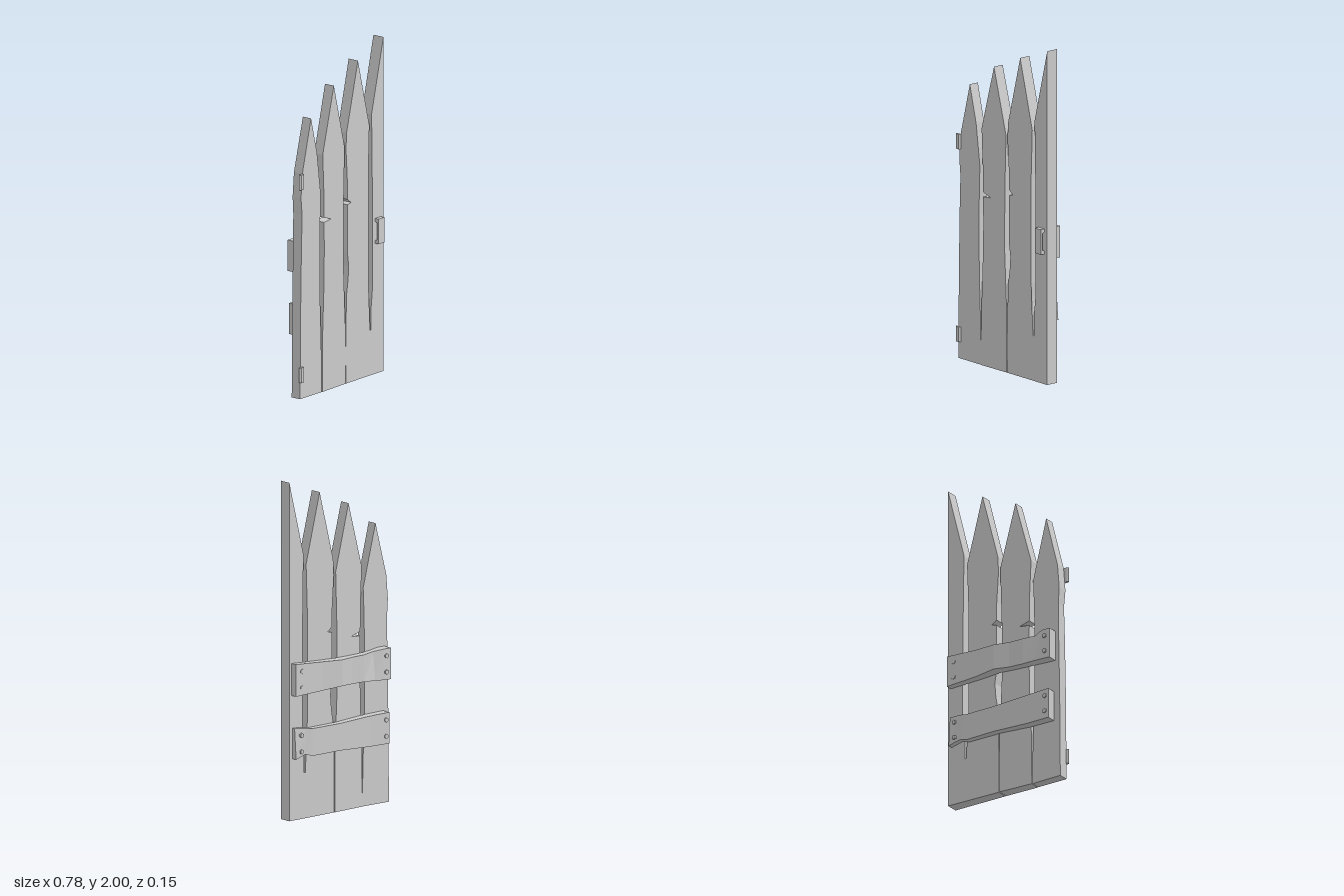
import * as THREE from 'three';

const grey = new THREE.MeshStandardMaterial({ color: 0xcccccc, flatShading: true });

function addMesh(parent, geometry, name) {
  const mesh = new THREE.Mesh(geometry, grey);
  mesh.name = name;
  parent.add(mesh);
  return mesh;
}

// Board cut from an outline of [x, y, frontShiftX?]; the shift chamfers the front edge.
// back and front give z at the left and right ends, so the board can lean.
function boardGeometry(points, back, front) {
  const shape = new THREE.Shape(points.map(([x, y]) => new THREE.Vector2(x, y)));
  const geo = new THREE.ExtrudeGeometry(shape, { depth: 1, bevelEnabled: false });
  const xs = points.map((p) => p[0]);
  const min = Math.min(...xs), max = Math.max(...xs);
  const pos = geo.attributes.position;
  for (let i = 0; i < pos.count; i++) {
    const x = pos.getX(i), y = pos.getY(i), t = (x - min) / (max - min);
    const isFront = pos.getZ(i) > 0.5;
    const [a, b] = isFront ? front : back;
    pos.setZ(i, a + (b - a) * t);
    const chip = isFront && points.find((p) => p[2] && Math.abs(p[0] - x) + Math.abs(p[1] - y) < 1e-4);
    if (chip) pos.setX(i, x + chip[2]);
  }
  geo.computeVertexNormals();
  return geo;
}

// Rail from cross-sections [x, yLow, yHigh, zFront, zBackLow, zBackHigh]
function railGeometry(sections) {
  const n = sections.length - 1;
  const geo = new THREE.BoxGeometry(1, 1, 1, n, 1, 1);
  const pos = geo.attributes.position;
  for (let i = 0; i < pos.count; i++) {
    const [x, lo, hi, front, backLo, backHi] = sections[Math.round((pos.getX(i) + 0.5) * n)];
    const top = pos.getY(i) > 0;
    pos.setXYZ(i, x, top ? hi : lo, pos.getZ(i) > 0 ? front : top ? backHi : backLo);
  }
  geo.computeVertexNormals();
  return geo;
}

export function createModel() {
  const gate = new THREE.Group();
  gate.name = 'picketGate';

  // Pointed boards, with worn edges and splits
  const boards = new THREE.Group();
  boards.name = 'boards';
  gate.add(boards);
  addMesh(boards, boardGeometry([
    [-0.38, 0], [-0.183, 0], [-0.185, 0.2], [-0.19, 0.36], [-0.197, 0.55], [-0.2, 0.9],
    [-0.192, 1.19], [-0.188, 1.29, -0.018], [-0.225, 1.44], [-0.28, 1.66], [-0.36, 1.345],
    [-0.372, 1.2], [-0.366, 1.1, 0.004], [-0.368, 0.9], [-0.375, 0.55],
  ], [0, 0.002], [0.063, 0.061]), 'hingeBoard');
  addMesh(boards, boardGeometry([
    [-0.18, 0], [0.038, 0], [0.038, 0.36], [0.03, 0.52], [0.02, 0.74], [0.022, 1.08],
    [0.032, 1.42], [-0.07, 1.81], [-0.175, 1.42], [-0.165, 1.2], [-0.163, 1.04],
    [-0.095, 1.018], [-0.163, 1.012], [-0.16, 0.85], [-0.166, 0.58], [-0.176, 0.35], [-0.178, 0.2],
  ], [0, -0.014], [0.063, 0.055]), 'middleBoard');
  addMesh(boards, boardGeometry([
    [0.043, 0], [0.39, 0], [0.39, 2], [0.28, 1.56], [0.284, 1.4], [0.29, 0.9], [0.29, 0.53],
    [0.276, 0.4], [0.275, 0.27], [0.266, 0.27], [0.262, 0.35], [0.258, 0.46, -0.018],
    [0.25, 0.58], [0.25, 1.2], [0.26, 1.5], [0.155, 1.91], [0.05, 1.5], [0.045, 1.4],
    [0.058, 1.2], [0.058, 1.1], [0.092, 1.075], [0.06, 1.068], [0.058, 0.78], [0.07, 0.7],
    [0.064, 0.62], [0.05, 0.53], [0.045, 0.35], [0.042, 0.2],
  ], [-0.012, -0.025], [0.055, 0.05]), 'latchBoards');

  // Warped rails across the back
  addMesh(gate, railGeometry([
    [-0.345, 0.74, 0.925, 0, -0.06, -0.06],
    [-0.29, 0.742, 0.925, 0, -0.06, -0.06],
    [-0.23, 0.746, 0.915, 0, -0.057, -0.035],
    [-0.15, 0.75, 0.91, 0, -0.052, -0.052],
    [-0.06, 0.752, 0.91, -0.002, -0.056, -0.056],
    [0.035, 0.757, 0.912, -0.012, -0.077, -0.077],
    [0.17, 0.748, 0.918, -0.015, -0.065, -0.065],
    [0.372, 0.74, 0.93, -0.022, -0.063, -0.063],
  ]), 'upperRail');
  addMesh(gate, railGeometry([
    [-0.335, 0.36, 0.545, 0, -0.057, -0.057],
    [-0.18, 0.362, 0.542, 0, -0.054, -0.054],
    [0.04, 0.372, 0.532, -0.012, -0.056, -0.056],
    [0.24, 0.37, 0.532, -0.018, -0.056, -0.056],
    [0.29, 0.385, 0.54, -0.02, -0.05, -0.056],
    [0.365, 0.365, 0.548, -0.022, -0.056, -0.042],
  ]), 'lowerRail');

  // Hexagonal bolts, two at each rail end
  const boltGeo = new THREE.CylinderGeometry(0.014, 0.014, 0.018, 6).rotateX(Math.PI / 2);
  for (const [y, z] of [[0.835, -0.059], [0.455, -0.055]])
    for (const x of [-0.31, 0.325])
      for (const dy of [-0.048, 0.048])
        addMesh(gate, boltGeo, 'bolt').position.set(x, y + dy, z);

  // Bevelled hinge plates wrapping the edge
  const hingeShape = new THREE.Shape([[-0.395, -0.067], [-0.385, -0.077], [-0.364, -0.077],
    [-0.355, -0.062], [-0.38, -0.06]].map((p) => new THREE.Vector2(...p)));
  const hingeGeo = new THREE.ExtrudeGeometry(hingeShape, { depth: 0.09, bevelEnabled: false }).rotateX(-Math.PI / 2);
  for (const y of [0.1, 1.255]) addMesh(gate, hingeGeo, 'hinge').position.y = y;

  // Pull handle: a flat strip with two feet
  const handleShape = new THREE.Shape([[0.045, 0.78], [0.077, 0.78], [0.077, 0.93], [0.045, 0.93],
    [0.045, 0.915], [0.065, 0.905], [0.065, 0.805], [0.045, 0.795]].map(([z, y]) => new THREE.Vector2(-z, y)));
  const handleGeo = new THREE.ExtrudeGeometry(handleShape, { depth: 0.052, bevelEnabled: false }).rotateY(Math.PI / 2);
  addMesh(gate, handleGeo, 'handle').position.x = 0.314;

  return gate;
}
